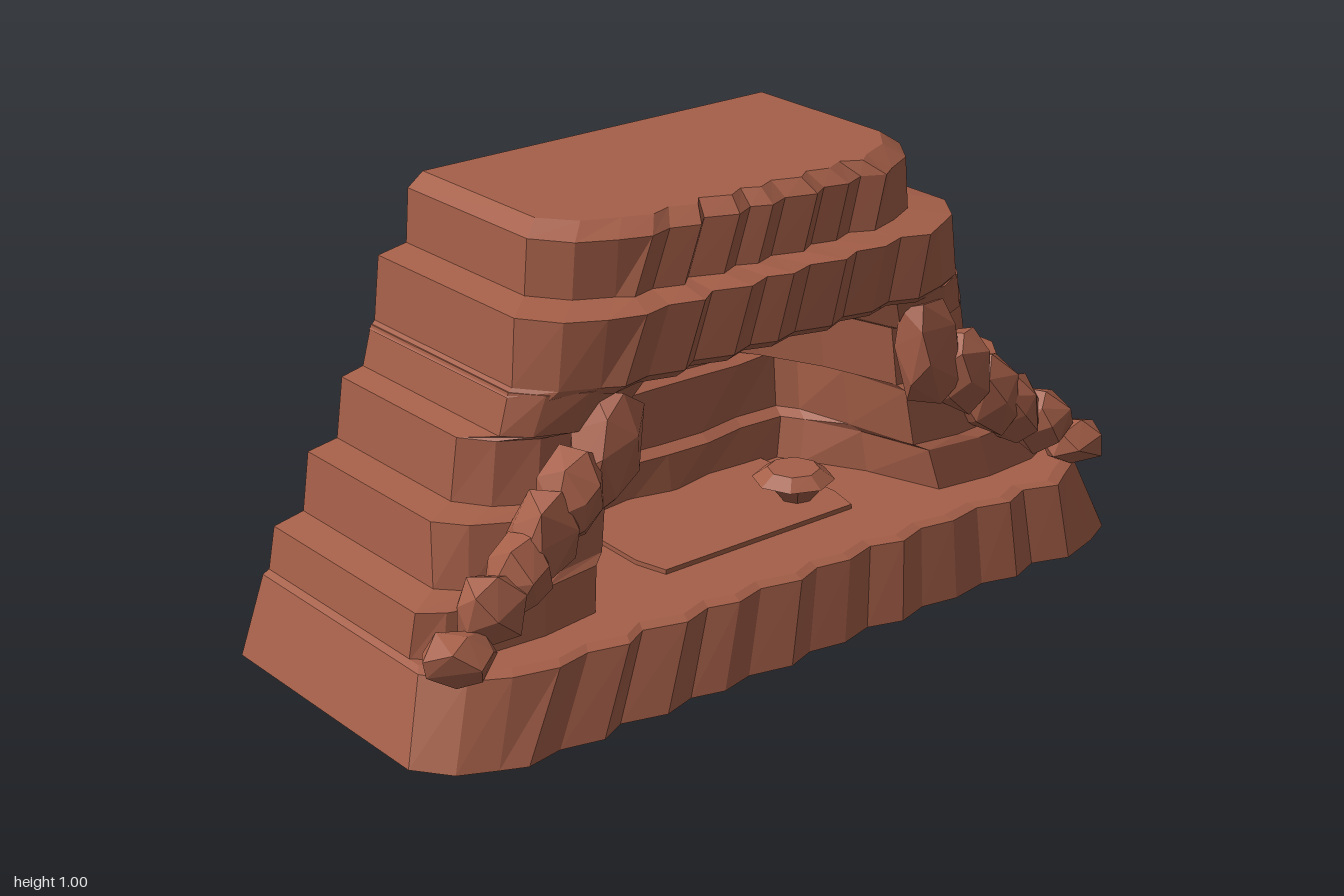
import * as THREE from 'three';
import { ConvexGeometry } from 'three/addons/geometries/ConvexGeometry.js';

// Seeded noise in -1..1
const noise = (n) => {
  const s = Math.sin(n * 127.1 + 11.7) * 43758.5453;
  return (s - Math.floor(s)) * 2 - 1;
};

// Solid from horizontal rings { y, pts: [x, z][] } with the same point count
function loft(rings) {
  const pos = [];
  const put = (r, i) => pos.push(r.pts[i][0], r.y, r.pts[i][1]);
  const n = rings[0].pts.length;
  for (let k = 0; k < rings.length - 1; k++) {
    const a = rings[k], b = rings[k + 1];
    for (let i = 0; i < n; i++) {
      const j = (i + 1) % n;
      put(a, i); put(a, j); put(b, j);
      put(a, i); put(b, j); put(b, i);
    }
  }
  const cap = (r, up) => {
    const flat = r.pts.map(([x, z]) => new THREE.Vector2(x, -z));
    for (const [a, b, c] of THREE.ShapeUtils.triangulateShape(flat, [])) {
      put(r, a); put(r, up ? b : c); put(r, up ? c : b);
    }
  };
  cap(rings[0], false);
  cap(rings[rings.length - 1], true);
  const g = new THREE.BufferGeometry();
  g.setAttribute('position', new THREE.Float32BufferAttribute(pos, 3));
  g.computeVertexNormals();
  return g;
}

// Straight back and ends, cut corners, jagged front
function ledge(y, hz, xc, xf, shift, count = 20, amp = 0.018) {
  const corner = [[-0.4, hz], [xc, hz], [xc + (xf - xc) * 0.6, hz - 0.06]];
  const pts = [...corner];
  const edge = hz - 0.14;
  for (let i = 0; i <= count; i++) {
    const z = edge - (2 * edge * i) / count;
    const end = i === 0 || i === count;
    const dx = end ? -0.015 : (i % 2 ? 0.6 : -0.6) * amp + noise(i + 5) * amp * 0.4;
    pts.push([xf + dx, z + (end ? 0 : shift + noise(i) * 0.012)]);
  }
  corner.reverse().forEach(([x, z]) => pts.push([x, -z]));
  return { y, pts };
}

// Ledge with a cave notch: zi is the mouth half width, xb and zb the rear wall
function caveLedge(y, hz, xc, xf, zi, xb, zb, seed) {
  const half = [
    [-0.4, hz], [xc, hz], [xc + (xf - xc) * 0.6, hz - 0.05], [xf, hz - 0.13],
    [xf + 0.01, (hz - 0.13 + zi) / 2], [xf - 0.01, zi],
    [xb + (xf - xb) * 0.5, zi * 0.65 + zb * 0.35], [xb + 0.05, zb + 0.03], [xb, zb],
  ];
  const pts = [...half];
  for (let i = 1; i < 6; i++) pts.push([xb + noise(i + seed) * 0.015, zb - (zb * i) / 3]);
  half.reverse().forEach(([x, z]) => pts.push([x, -z]));
  return { y, pts };
}

function boulderGeometry(sx, sy, sz, seed) {
  const pts = [];
  const n = 18;
  for (let i = 0; i < n; i++) {
    const h = 1 - (2 * (i + 0.5)) / n;
    const a = i * 2.4 + noise(seed + i) * 0.35;
    const r = Math.sqrt(1 - h * h);
    const k = 1.03 + noise(seed * 3 + i) * 0.1;
    pts.push(new THREE.Vector3(r * Math.cos(a) * k * sx, h * k * sy, r * Math.sin(a) * k * sz));
  }
  return new ConvexGeometry(pts);
}

export function createModel() {
  const model = new THREE.Group();
  const stone = new THREE.MeshStandardMaterial({ color: 0xa55f48 });
  stone.name = 'red sandstone';
  stone.flatShading = true;
  const add = (name, geometry, x = 0, y = 0, z = 0) => {
    const m = new THREE.Mesh(geometry, stone);
    m.name = name;
    m.position.set(x, y, z);
    model.add(m);
    return m;
  };

  // Broad foot of the cliff
  add('base', loft([
    ledge(0, 1, 0.25, 0.384, 0.025),
    ledge(0.175, 0.935, 0.2, 0.348, -0.025),
    ledge(0.183, 0.92, 0.18, 0.325, -0.025),
  ]));

  // Stepped middle around the cave, closing into a sloped ceiling
  add('caveLedges', loft([
    caveLedge(0.178, 0.92, 0.145, 0.23, 0.5, -0.16, 0.33, 1),
    caveLedge(0.28, 0.9, 0.145, 0.21, 0.48, -0.17, 0.35, 4),
    caveLedge(0.295, 0.825, 0.1, 0.19, 0.45, -0.2, 0.36, 4),
    caveLedge(0.43, 0.805, 0.07, 0.18, 0.43, -0.21, 0.36, 9),
    caveLedge(0.442, 0.73, 0.035, 0.16, 0.42, -0.24, 0.27, 9),
    caveLedge(0.58, 0.71, 0.035, 0.15, 0.41, -0.25, 0.26, 14),
    caveLedge(0.592, 0.655, 0.11, 0.19, 0.4, -0.24, 0.26, 14),
    caveLedge(0.682, 0.63, 0.11, 0.215, 0.36, 0.18, 0.26, 20),
  ]));

  // Overhanging upper ledge and flat summit
  add('upperLedges', loft([
    ledge(0.672, 0.635, 0.11, 0.22, 0.02, 14),
    ledge(0.69, 0.62, 0.11, 0.24, 0.02, 14),
    ledge(0.835, 0.603, 0.1, 0.245, -0.02, 14),
    ledge(0.848, 0.53, 0.035, 0.175, 0.02, 14),
    ledge(0.97, 0.52, 0.035, 0.175, -0.02, 14),
    ledge(1, 0.48, 0.01, 0.135, -0.02, 14),
  ]));

  // Thin slab on the cave floor
  const slab = [[-0.2, 0.28], [0.09, 0.29], [0.17, 0.27]];
  const slabPts = [...slab, ...slab.slice().reverse().map(([x, z]) => [x, -z])];
  add('floorSlab', loft([{ y: 0.175, pts: slabPts }, { y: 0.194, pts: slabPts }]));

  // Small flared pedestal rock
  add('pedestalRock', new THREE.CylinderGeometry(0.08, 0.035, 0.055, 7), 0.06, 0.218, -0.2);
  add('pedestalTop', new THREE.CylinderGeometry(0.06, 0.095, 0.025, 8), 0.06, 0.258, -0.19);

  // Boulders descending on either side of the mouth: x, y, z, radii
  const boulders = [
    [0.21, 0.53, 0.46, 0.065, 0.145, 0.085],
    [0.22, 0.47, 0.56, 0.075, 0.11, 0.075],
    [0.23, 0.39, 0.64, 0.075, 0.115, 0.075],
    [0.24, 0.345, 0.71, 0.07, 0.095, 0.07],
    [0.25, 0.295, 0.79, 0.075, 0.08, 0.075],
    [0.275, 0.225, 0.88, 0.075, 0.058, 0.085],
  ];
  for (const side of [1, -1]) {
    boulders.forEach(([x, y, z, sx, sy, sz], i) => {
      const m = add(side > 0 ? 'frontBoulder' : 'backBoulder',
        boulderGeometry(sx, sy, sz, i * 7 + (side > 0 ? 2 : 51)), x, y, z * side);
      m.rotation.x = side * (i < 4 ? -0.25 : 0);
    });
  }
  return model;
}
